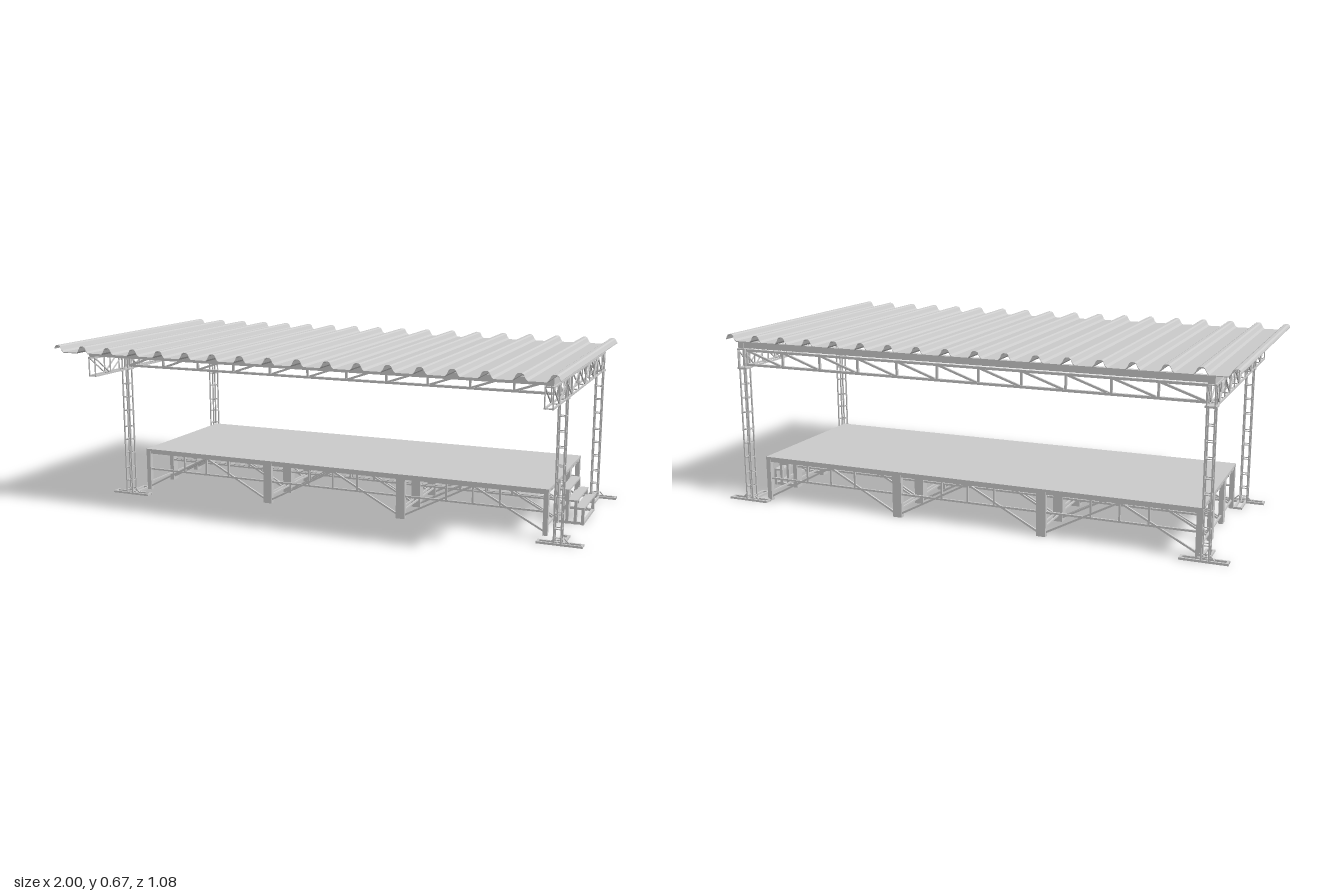
import * as THREE from 'three';
import { mergeGeometries } from 'three/addons/utils/BufferGeometryUtils.js';

const material = new THREE.MeshStandardMaterial({ color: 0xcccccc, side: THREE.DoubleSide });

// Rectangular bar between two points: w is its horizontal width, h its depth
function bar(a, b, w, h = w) {
  const p = new THREE.Vector3(...a), q = new THREE.Vector3(...b);
  const d = q.clone().sub(p);
  const up = Math.abs(d.x) + Math.abs(d.z) < 1e-6 ? new THREE.Vector3(0, 0, 1) : new THREE.Vector3(0, 1, 0);
  const m = new THREE.Matrix4().lookAt(q, p, up).setPosition(p.add(q).multiplyScalar(0.5));
  return new THREE.BoxGeometry(w, h, d.length()).applyMatrix4(m);
}

// Box given by its lower and upper limits
function block(x0, x1, y0, y1, z0, z1) {
  return new THREE.BoxGeometry(x1 - x0, y1 - y0, z1 - z0)
    .translate((x0 + x1) / 2, (y0 + y1) / 2, (z0 + z1) / 2);
}

function part(name, geometries) {
  const mesh = new THREE.Mesh(mergeGeometries(geometries), material);
  mesh.name = name;
  return mesh;
}

// Corrugated sheet: ribbed profile in x, extruded along z
function roofSheet() {
  const x0 = -1, x1 = 0.965, base = 0.64, t = 0.003;
  const rib = [[-0.026, 0], [-0.019, 0.007], [-0.012, 0.021], [-0.006, 0.025],
    [0.006, 0.025], [0.012, 0.021], [0.019, 0.007], [0.026, 0]];
  const line = [];
  for (let i = 0; i < 18; i++) {
    for (const [dx, dy] of rib) {
      const x = -0.985 + i * 0.1135 + dx;
      if (x > x0 && x < x1) line.push([x, base + dy]);
    }
  }
  line.unshift([x0, base + 0.014]);
  line.push([x1, base + 0.008]);
  const under = line.map(([x, y]) => [x, y - t]).reverse();
  const shape = new THREE.Shape([...line, ...under].map(p => new THREE.Vector2(...p)));
  return new THREE.ExtrudeGeometry(shape, { depth: 1.075, bevelEnabled: false }).translate(0, 0, -0.54);
}

// Ladder-like lattice column with four corner tubes
function column(x, z) {
  const g = [], r = 0.0135;
  const corners = [[-r, -r], [r, -r], [r, r], [-r, r]];
  const rungs = [0.02, 0.06, 0.115, 0.178, 0.235, 0.29, 0.358, 0.415, 0.47, 0.53];
  corners.forEach(([dx, dz], i) => {
    const [ex, ez] = corners[(i + 1) % 4];
    g.push(bar([x + dx, 0.005, z + dz], [x + dx, 0.61, z + dz], 0.005));
    for (const y of rungs) g.push(bar([x + dx, y, z + dz], [x + ex, y, z + ez], 0.003));
  });
  g.push(block(x - 0.02, x + 0.02, 0.53, 0.537, z - 0.02, z + 0.02));
  return g;
}

// Flat foot frame under a column, with a tail pointing inwards and small braces
function foot(x, z, dir) {
  const g = [];
  for (const s of [-1, 1]) {
    g.push(bar([x - 0.085, 0.004, z + s * 0.0125], [x + 0.085, 0.004, z + s * 0.0125], 0.008));
    g.push(bar([x + s * 0.0125, 0.004, z], [x + s * 0.0125, 0.004, z + dir * 0.105], 0.008));
    g.push(bar([x + s * 0.08, 0.004, z - 0.015], [x + s * 0.08, 0.004, z + 0.015], 0.008));
    g.push(bar([x + s * 0.015, 0.025, z], [x + s * 0.035, 0.006, z], 0.004));
  }
  g.push(bar([x - 0.015, 0.004, z + dir * 0.1], [x + 0.015, 0.004, z + dir * 0.1], 0.008));
  g.push(bar([x, 0.025, z + dir * 0.015], [x, 0.006, z + dir * 0.035], 0.004));
  return g;
}

// Side truss along z: two lattice planes tied together
function sideTruss(x) {
  const zs = [0.43, 0.33, 0.23, 0.125, 0.003, -0.12, -0.205, -0.29, -0.375, -0.465, -0.53];
  const lo = 0.535, hi = 0.607, g = [];
  for (const dx of [-0.014, 0.014]) {
    const X = x + dx;
    for (const y of [lo, hi]) g.push(bar([X, y, 0.432], [X, y, -0.532], 0.006));
    zs.forEach((z, i) => {
      g.push(bar([X, lo, z], [X, hi, z], 0.004));
      if (i) g.push(bar([X, i % 2 ? hi : lo, zs[i - 1]], [X, i % 2 ? lo : hi, z], 0.004));
    });
  }
  for (const z of zs) for (const y of [lo, hi]) g.push(bar([x - 0.014, y, z], [x + 0.014, y, z], 0.004));
  return g;
}

// Cross truss along x with equal bays and rising diagonals
function crossTruss(z) {
  const lo = 0.547, hi = 0.603, n = 11, x0 = -0.89, step = 1.78 / n, g = [];
  for (const y of [lo, hi]) g.push(bar([x0, y, z], [-x0, y, z], 0.012, 0.009));
  for (let i = 0; i <= n; i++) {
    const x = x0 + i * step;
    g.push(bar([x, lo, z], [x, hi, z], 0.008));
    if (i < n) g.push(bar([x, lo, z], [x + step, hi, z], 0.008));
  }
  return g;
}

// One stage module: legs, rim, joists and braced long sides
function stageModule(x0, x1, z0, z1) {
  const g = [], L = 0.018, h = L / 2, xm = (x0 + x1) / 2, top = 0.16;
  for (const z of [z0 + h, z1 - h]) {
    for (const x of [x0 + h, x1 - h]) g.push(block(x - h, x + h, 0, 0.17, z - h, z + h));
    g.push(block(x0, x1, 0.157, 0.17, z - 0.006, z + 0.006));
    g.push(bar([x0 + L, 0.09, z], [x1 - L, 0.09, z], 0.007));
    for (const s of [-1, 1]) {
      const end = xm + s * ((x1 - x0) / 2 - h);
      g.push(bar([xm, top, z], [end, 0.012, z], 0.007));
      g.push(bar([xm + s * 0.105, 0.09, z], [xm + s * 0.105, top, z], 0.007));
    }
    g.push(bar([xm, 0.09, z], [xm, top, z], 0.007));
  }
  for (const x of [x0 + h, x1 - h]) {
    g.push(block(x - 0.006, x + 0.006, 0.157, 0.17, z0, z1));
    g.push(bar([x, 0.032, z0 + L], [x, 0.032, z1 - L], 0.006));
  }
  for (const f of [1 / 3, 2 / 3]) {
    const z = z0 + (z1 - z0) * f;
    g.push(block(x0, x1, 0.16, 0.17, z - 0.005, z + 0.005));
  }
  return g;
}

// Three-step stair at the left end of the stage
function stairs() {
  const g = [], z0 = -0.297, z1 = -0.078;
  const steps = [[0.85, 0.885, 0.135], [0.882, 0.917, 0.095], [0.91, 0.945, 0.068]];
  for (const [x0, x1, y] of steps) {
    g.push(block(x0, x1, y - 0.007, y, z0, z1));
    for (const z of [z0 + 0.006, z1 - 0.006]) {
      g.push(block(x1 - 0.011, x1, 0, y - 0.007, z - 0.006, z + 0.006));
    }
  }
  for (const z of [z0 + 0.006, z1 - 0.006]) g.push(bar([0.85, 0.006, z], [0.945, 0.006, z], 0.01));
  g.push(bar([0.94, 0.006, z0], [0.94, 0.006, z1], 0.01));
  return g;
}

export function createModel() {
  const model = new THREE.Group();
  model.name = 'coveredStage';

  // Roof and its supports
  model.add(part('roofSheet', [roofSheet()]));
  const purlins = [0.42, 0.19, -0.045, -0.28, -0.517].map(z => block(-0.915, 0.92, 0.613, 0.637, z - 0.01, z + 0.01));
  model.add(part('roofPurlins', purlins));
  for (const side of [-1, 1]) {
    const x = side * 0.905, label = side > 0 ? 'left' : 'right';
    model.add(part(label + 'RoofBeam', [block(x - 0.012, x + 0.012, 0.61, 0.638, -0.53, 0.43)]));
    model.add(part(label + 'SideTruss', sideTruss(x)));
    for (const [z, dir, end] of [[0.195, -1, 'Front'], [-0.511, 1, 'Back']]) {
      model.add(part(label + end + 'Column', column(x, z)));
      model.add(part(label + end + 'Foot', foot(side > 0 ? 0.912 : -0.9, z, dir)));
    }
  }
  model.add(part('frontCrossTruss', crossTruss(0.195)), part('backCrossTruss', crossTruss(-0.515)));

  // Stage made of three by three modules under one deck
  const sx = -0.882, sz = -0.487, w = 1.729 / 3, d = 0.597 / 3;
  for (let i = 0; i < 3; i++) {
    for (let j = 0; j < 3; j++) {
      model.add(part('stageModule', stageModule(sx + i * w, sx + (i + 1) * w, sz + j * d, sz + (j + 1) * d)));
    }
  }
  model.add(part('stageDeck', [block(sx, 0.847, 0.168, 0.177, sz, 0.11)]));
  model.add(part('stairs', stairs()));
  return model;
}
